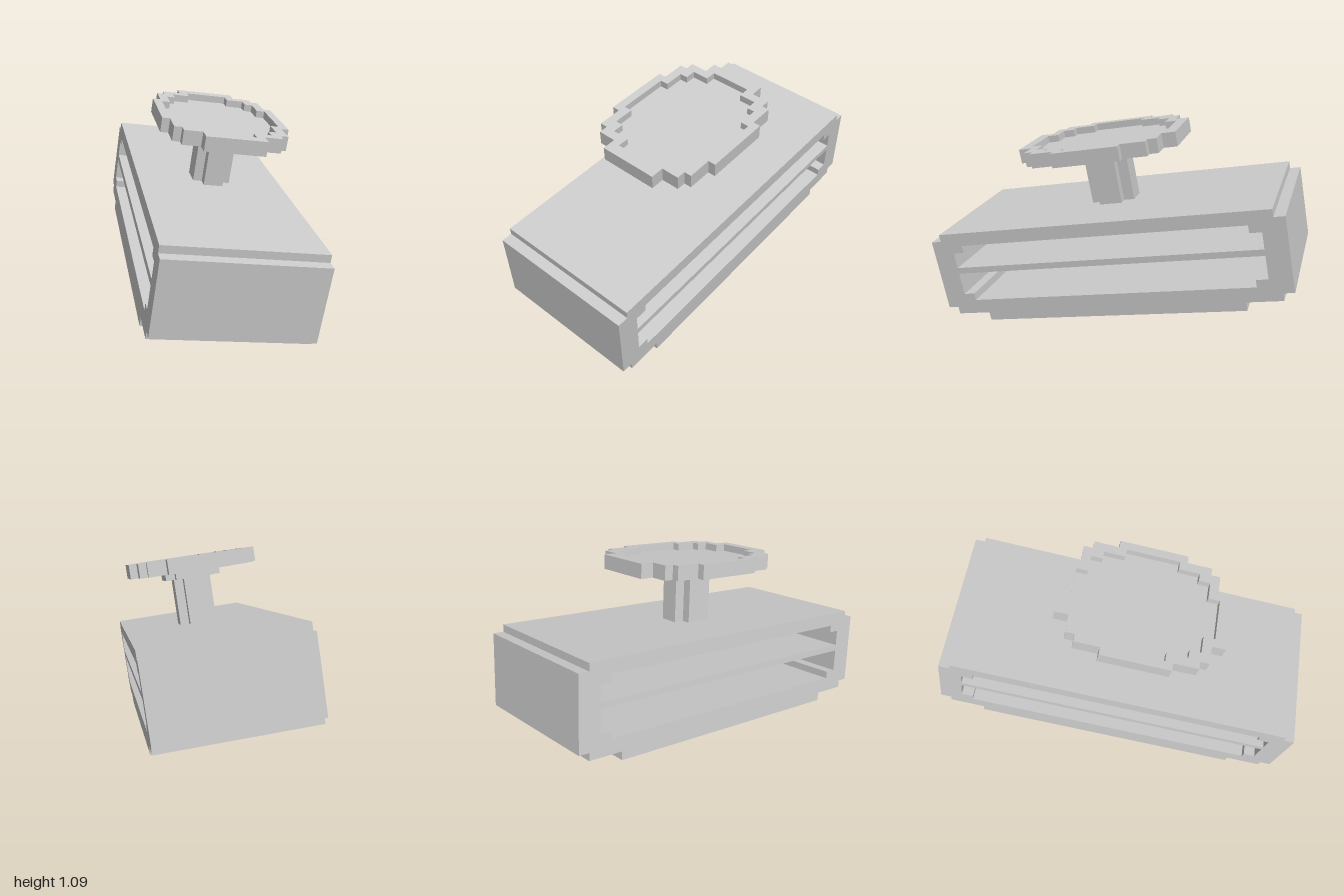
import * as THREE from 'three';

const material = new THREE.MeshStandardMaterial({ color: 0xcccccc, flatShading: true });

// Right half of a stepped outline (bottom to top), mirrored into a closed loop
const mirrored = (half) => [...half, ...half.slice().reverse().map(([x, y]) => [-x, y])]
  .map(([x, y]) => new THREE.Vector2(x, y));

// Stepped "pixel disc" outline from the convex corners of one quarter
function steppedRound(corners) {
  const quarter = [];
  corners.forEach(([a, b], i) => {
    quarter.push([a, b]);
    if (i < corners.length - 1) quarter.push([corners[i + 1][0], b]);
  });
  const lower = quarter.slice().reverse().map(([a, b]) => [a, -b]);
  return mirrored([...lower, ...quarter]);
}

function extrude(name, outline, depth, holes = []) {
  const shape = new THREE.Shape(outline);
  holes.forEach((h) => shape.holes.push(new THREE.Path(h)));
  const geometry = new THREE.ExtrudeGeometry(shape, { depth, bevelEnabled: false });
  const mesh = new THREE.Mesh(geometry, material);
  mesh.name = name;
  return mesh;
}

// Horizontal slab between two heights
function slab(name, outline, y0, y1, holes) {
  const mesh = extrude(name, outline, y1 - y0, holes);
  mesh.geometry.rotateX(-Math.PI / 2);
  mesh.position.y = y0;
  return mesh;
}

export function createModel() {
  const group = new THREE.Group();
  group.name = 'slottedBoxWithDial';

  // Long housing with stepped edges and two slots running through it
  const profile = mirrored([
    [0.705, 0.145], [0.705, 0.19], [0.889, 0.19], [0.889, 0.23],
    [0.945, 0.23], [0.945, 0.617], [0.889, 0.617], [0.889, 0.656],
  ]);
  const lowerSlot = mirrored([[0.768, 0.267], [0.768, 0.306], [0.829, 0.306], [0.829, 0.427]]);
  const upperSlot = mirrored([[0.829, 0.46], [0.829, 0.546], [0.768, 0.546], [0.768, 0.585]]);
  const body = extrude('housing', profile, 0.788, [lowerSlot, upperSlot]);
  body.position.z = -0.394;
  group.add(body);

  // Stem and its collar
  group.add(slab('stem', steppedRound([[0.118, 0.051], [0.062, 0.098]]), 0.656, 0.902));
  group.add(slab('collar', steppedRound([[0.175, 0.096], [0.117, 0.145]]), 0.902, 0.94));

  // Dial plate with a raised rim
  const outer = steppedRound([[0.43, 0.155], [0.358, 0.25], [0.31, 0.29], [0.18, 0.33]]);
  const inner = steppedRound([[0.37, 0.11], [0.31, 0.2], [0.25, 0.242], [0.14, 0.286]]);
  group.add(slab('dialPlate', outer, 0.94, 0.978));
  group.add(slab('dialRim', outer, 0.978, 1.015, [inner]));

  // Turned and tilted pose
  group.rotation.set(Math.atan(0.2), THREE.MathUtils.degToRad(50.5), 0);
  group.position.set(0, 0.0167, -0.083);

  const model = new THREE.Group();
  model.name = 'model';
  model.add(group);
  return model;
}
